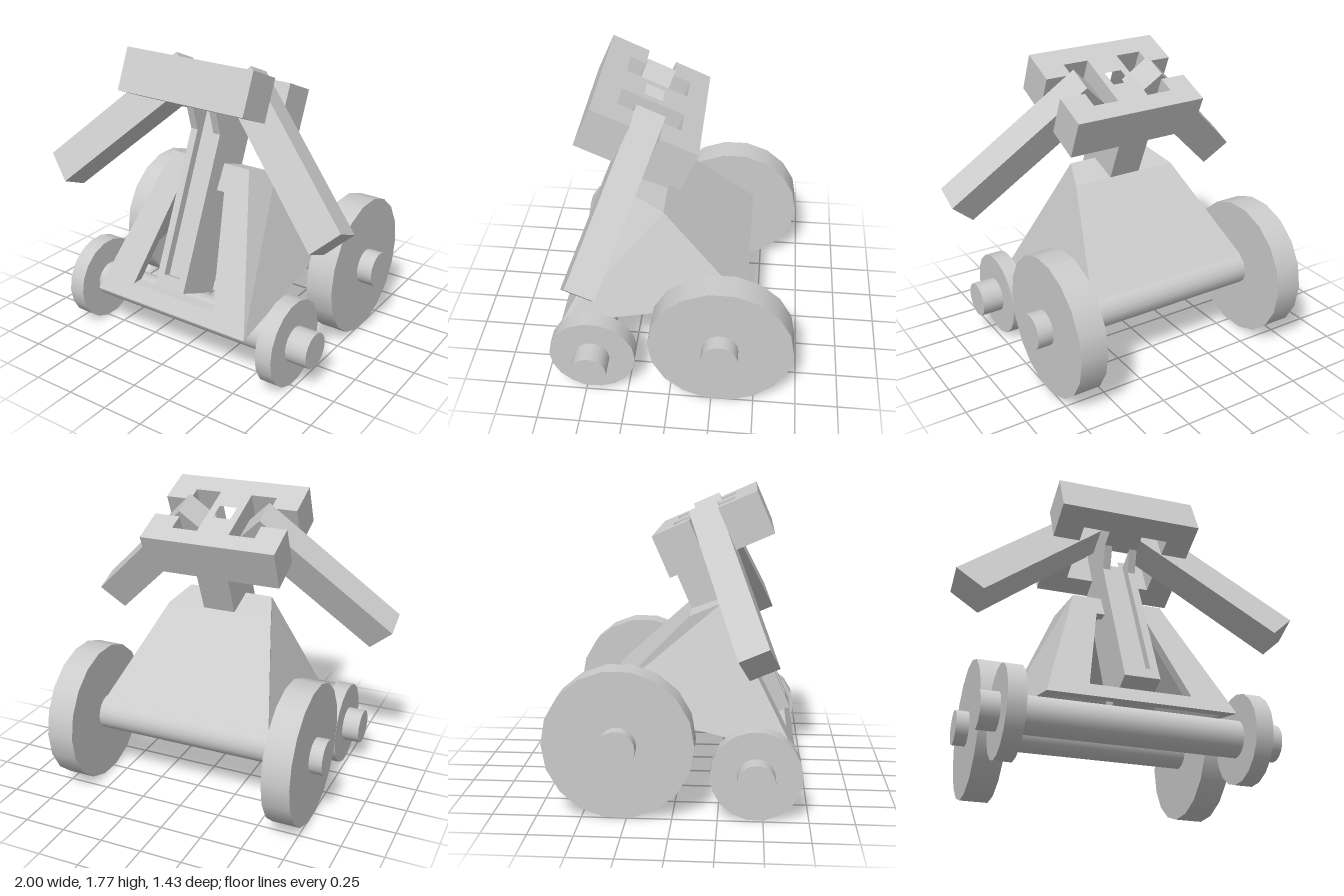
import * as THREE from 'three';

const mat = new THREE.MeshStandardMaterial({ color: 0xcccccc });
const flat = new THREE.MeshStandardMaterial({ color: 0xcccccc, flatShading: true, side: THREE.DoubleSide });

function add(parent, name, geometry, material = mat) {
  const mesh = new THREE.Mesh(geometry, material);
  mesh.name = name;
  parent.add(mesh);
  return mesh;
}

// Cylinder lying along x
function roller(parent, name, radius, length, x, y, z) {
  const m = add(parent, name, new THREE.CylinderGeometry(radius, radius, length, 18));
  m.rotation.z = Math.PI / 2;
  m.position.set(x, y, z);
}

// Plan outline (x, z), mirrored over x = 0, raised from y0 to y1
function planExtrude(half, y0, y1, hole) {
  const pts = [...half, ...half.map(([x, z]) => [-x, z]).reverse()];
  const toV = ([x, z]) => new THREE.Vector2(x, -z);
  const shape = new THREE.Shape(pts.map(toV));
  if (hole) shape.holes.push(new THREE.Path(hole.map(toV)));
  const g = new THREE.ExtrudeGeometry(shape, { depth: y1 - y0, bevelEnabled: false });
  return g.rotateX(-Math.PI / 2).translate(0, y0, 0);
}

// Hollow sloping carriage, open below and with a window in the front
function carriageGeometry() {
  const pos = [];
  const quad = (a, b, c, d) => pos.push(...a, ...b, ...c, ...a, ...c, ...d);
  const loop = (a, b) => a.forEach((p, i) => {
    const j = (i + 1) % a.length;
    quad(p, a[j], b[j], b[i]);
  });
  const ring = (xf, yf, zf, xb, yb, zb) => [[-xf, yf, zf], [xf, yf, zf], [xb, yb, zb], [-xb, yb, zb]];
  const shells = [
    { low: ring(0.525, 0.31, 0.68, 0.525, 0.575, -0.43), top: ring(0.27, 1.12, 0.25, 0.335, 1.055, 0.07), dz: 0 },
    { low: ring(0.465, 0.32, 0.607, 0.465, 0.575, -0.36), top: ring(0.21, 1.04, 0.224, 0.28, 0.98, 0.08), dz: 0.068 },
  ];
  const windows = shells.map(({ low, top, dz }, s) => {
    const start = pos.length;
    for (let i = 1; i < 4; i++) {
      const j = (i + 1) % 4;
      quad(low[i], low[j], top[j], top[i]);
    }
    quad(...top);
    const win = [[-0.285, 0.395], [0.285, 0.395], [0.15, 0.98], [-0.15, 0.98]]
      .map(([x, y]) => [x, y, 0.68 - (y - 0.31) * 0.531 - dz]);
    loop([low[0], low[1], top[1], top[0]], win);
    // the inner shell faces inwards
    if (s) for (let k = start; k < pos.length; k += 9) {
      const b = pos.slice(k + 3, k + 6);
      for (let c = 0; c < 3; c++) {
        pos[k + 3 + c] = pos[k + 6 + c];
        pos[k + 6 + c] = b[c];
      }
    }
    return win;
  });
  loop(windows[0], windows[1]);
  loop(shells[1].low, shells[0].low);
  const g = new THREE.BufferGeometry();
  g.setAttribute('position', new THREE.Float32BufferAttribute(pos, 3));
  g.computeVertexNormals();
  return g;
}

export function createModel() {
  const model = new THREE.Group();
  model.name = 'wheeledCrossbowEngine';

  // Running gear
  roller(model, 'frontAxle', 0.105, 1.685, 0.008, 0.25, 0.46);
  roller(model, 'rearAxle', 0.105, 1.685, 0.008, 0.42, -0.295);
  for (const side of [-1, 1]) {
    roller(model, 'frontWheel', 0.255, 0.1, side * 0.675 - 0.005, 0.252, 0.46);
    roller(model, 'rearWheel', 0.42, 0.165, side * 0.675, 0.42, -0.295);
  }

  add(model, 'carriage', carriageGeometry(), flat);

  // Tilted launcher: local y runs along the stock, local z out of its face
  const launcher = new THREE.Group();
  launcher.name = 'launcher';
  launcher.rotation.x = -0.4115;
  model.add(launcher);

  // Stock with a bolt groove, closed at the bottom
  add(launcher, 'stock', planExtrude(
    [[0.1, 0.486], [0.1, 0.789], [0.055, 0.789], [0.055, 0.738]], 0.228, 1.08));
  add(launcher, 'stockEnd', planExtrude([[0.1, 0.486], [0.1, 0.789]], 0.158, 0.228));

  // Neck widening forward under the head, with the groove passing through
  const cheek = new THREE.Shape(
    [[0.486, 1.08], [0.789, 1.08], [0.881, 1.193], [0.486, 1.193]].map(([z, y]) => new THREE.Vector2(-z, y)));
  for (const x of [-0.1, 0.055]) {
    const g = new THREE.ExtrudeGeometry(cheek, { depth: 0.045, bevelEnabled: false });
    add(launcher, 'neckCheek', g.rotateY(Math.PI / 2).translate(x, 0, 0));
  }
  add(launcher, 'neckBack', planExtrude([[0.055, 0.486], [0.055, 0.738]], 1.08, 1.193));

  // Head: two crossbars joined by a post, notched for the arms
  const half = [[0.42, 0.484], [0.42, 0.709], [0.26, 0.709], [0.26, 0.602], [0.1, 0.602],
    [0.1, 0.978], [0.26, 0.978], [0.26, 0.881], [0.42, 0.881], [0.42, 1.112]];
  const hole = [[-0.055, 0.738], [0.055, 0.738], [0.055, 0.847], [-0.055, 0.847]];
  add(launcher, 'head', planExtrude(half, 1.193, 1.443, hole));

  // Throwing arms, slanting down and out between the crossbars
  for (const side of [-1, 1]) {
    const arm = add(launcher, side > 0 ? 'leftArm' : 'rightArm', new THREE.BoxGeometry(1.055, 0.207, 0.171));
    arm.rotation.z = -side * Math.PI / 4;
    arm.position.set(side * 0.554, 1.035, 0.796);
  }
  return model;
}
